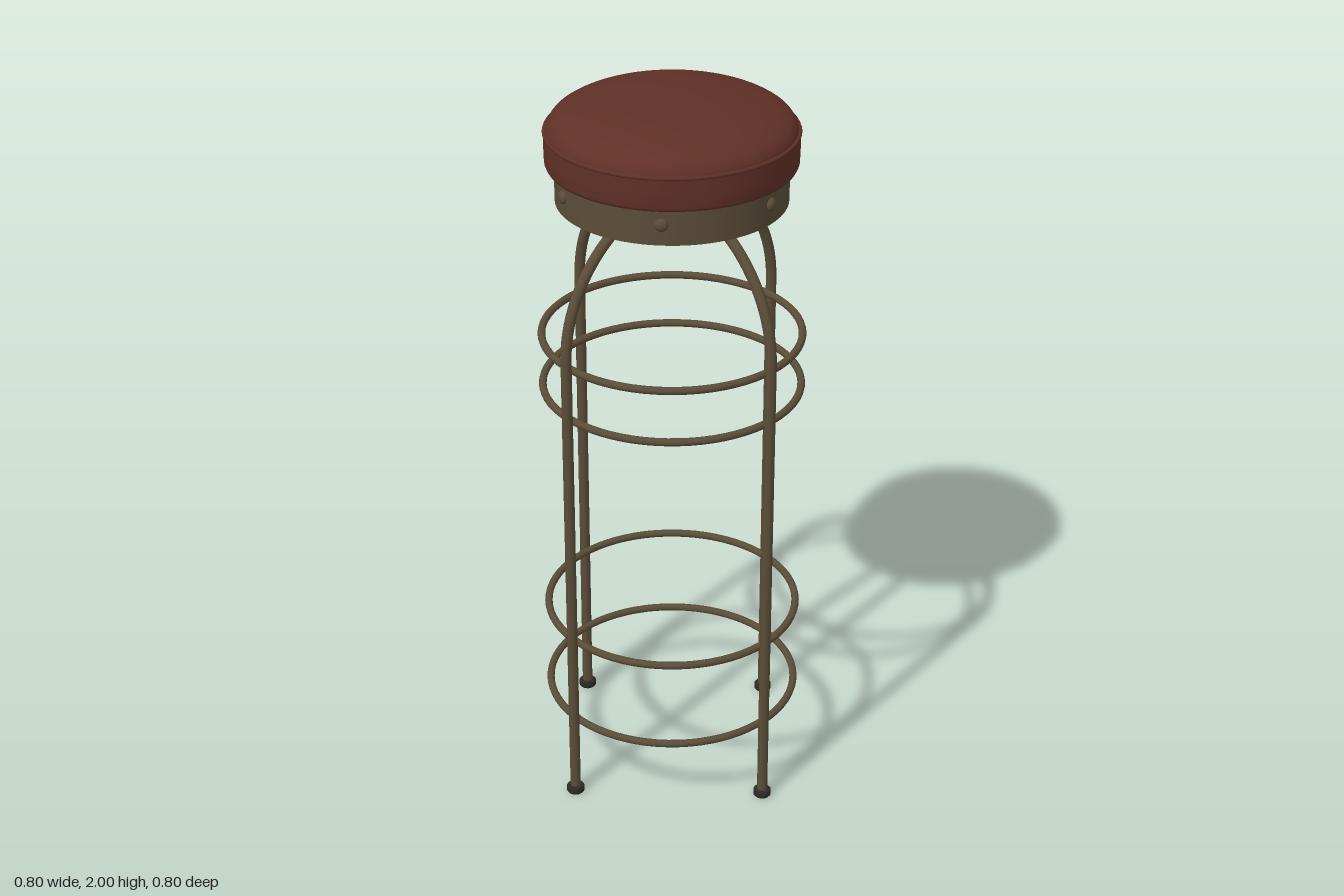
import * as THREE from 'three';

const material = (name, color) => {
  const m = new THREE.MeshStandardMaterial({ color });
  m.name = name;
  return m;
};

export function createModel() {
  const metal = material('aged bronze metal', 0x5a4c38);
  const leather = material('brown leather', 0x5f3026);
  const rubber = material('dark rubber', 0x2c2a26);
  const steel = material('dark steel', 0x3b4148);

  const stool = new THREE.Group();
  stool.name = 'barStool';

  const add = (name, geometry, mat, x = 0, y = 0, z = 0, parent = stool) => {
    const mesh = new THREE.Mesh(geometry, mat);
    mesh.name = name;
    mesh.position.set(x, y, z);
    parent.add(mesh);
    return mesh;
  };
  const lathe = (points, segments = 64) =>
    new THREE.LatheGeometry(points.map(([r, y]) => new THREE.Vector2(r, y)), segments);

  const LEG_X = 0.375, LEG_R = 0.0145, BEND_Y = 1.37;

  // Four straight legs with rubber feet
  for (let i = 0; i < 4; i++) {
    const a = i * Math.PI / 2;
    const leg = new THREE.Group();
    leg.name = 'leg' + (i + 1);
    leg.position.set(LEG_X * Math.sin(a), 0, LEG_X * Math.cos(a));
    stool.add(leg);
    const h = BEND_Y - 0.015;
    add('legTube', new THREE.CylinderGeometry(LEG_R, LEG_R, h, 16, 1, true), metal, 0, 0.015 + h / 2, 0, leg);
    add('foot', lathe([[0, 0], [0.022, 0], [0.025, 0.004], [0.025, 0.017], [0.021, 0.022], [0, 0.022]], 20), rubber, 0, 0, 0, leg);
  }

  // Two crossing half-circle arches join opposite legs
  for (const turn of [0, Math.PI / 2]) {
    const arch = add('legArch', new THREE.TorusGeometry(LEG_X, LEG_R, 16, 48, Math.PI), metal, 0, BEND_Y, 0);
    arch.rotation.y = turn;
  }

  // Horizontal hoops inside the legs
  for (const y of [0.23, 0.49, 1.185, 1.335]) {
    const hoop = add('hoop', new THREE.TorusGeometry(0.35, 0.0105, 12, 72), metal, 0, y, 0);
    hoop.rotation.x = Math.PI / 2;
  }

  // Central hub and swivel plate
  add('hub', new THREE.CylinderGeometry(0.049, 0.049, 0.15, 28), metal, 0, 1.685, 0);
  const plate = add('swivelPlate', new THREE.BoxGeometry(0.32, 0.05, 0.32), steel, 0, 1.795, 0);
  plate.rotation.y = Math.PI / 4;

  // Open band under the seat, each wall a separate strip for crisp edges
  const band = new THREE.Group();
  band.name = 'seatBand';
  stool.add(band);
  const OUT = 0.306, IN = 0.296, LOW = 1.722, TOP = 1.825;
  add('bandOuter', lathe([[OUT, LOW], [OUT, TOP]]), metal, 0, 0, 0, band);
  add('bandInner', lathe([[IN, TOP], [IN, LOW]]), metal, 0, 0, 0, band);
  add('bandEdge', lathe([[IN, LOW], [OUT, LOW]]), metal, 0, 0, 0, band);

  // Six domed rivets around the band
  for (let i = 0; i < 6; i++) {
    const a = (12 + 60 * i) * Math.PI / 180;
    const rivet = add('rivet', new THREE.SphereGeometry(0.018, 16, 10), metal,
      OUT * Math.sin(a), 1.778, OUT * Math.cos(a), band);
    rivet.rotation.y = a;
    rivet.scale.z = 0.65;
  }

  // Cushion side with flat underside
  add('cushionUnderside', lathe([[0, 1.82], [0.318, 1.82]]), leather);
  add('cushionSide', lathe([[0.318, 1.82], [0.327, 1.823], [0.331, 1.832], [0.332, 1.87], [0.331, 1.912]]), leather);

  // Piping seam
  const piping = add('piping', new THREE.TorusGeometry(0.329, 0.006, 8, 72), leather, 0, 1.912, 0);
  piping.rotation.x = Math.PI / 2;

  // Padded top, leaning slightly higher toward the right rear
  const profile = new THREE.SplineCurve([[0.328, 1.912], [0.322, 1.93], [0.304, 1.95], [0.26, 1.97],
    [0.18, 1.986], [0.09, 1.993], [0, 1.995]].map(([r, y]) => new THREE.Vector2(r, y)));
  const top = new THREE.LatheGeometry(profile.getPoints(28), 64);
  const p = top.attributes.position;
  for (let i = 0; i < p.count; i++) {
    const lift = (p.getY(i) - 1.912) / 0.083;
    p.setY(i, p.getY(i) + 0.024 * lift * (p.getX(i) - p.getZ(i)));
  }
  top.computeVertexNormals();
  add('cushionTop', top, leather);

  return stool;
}
